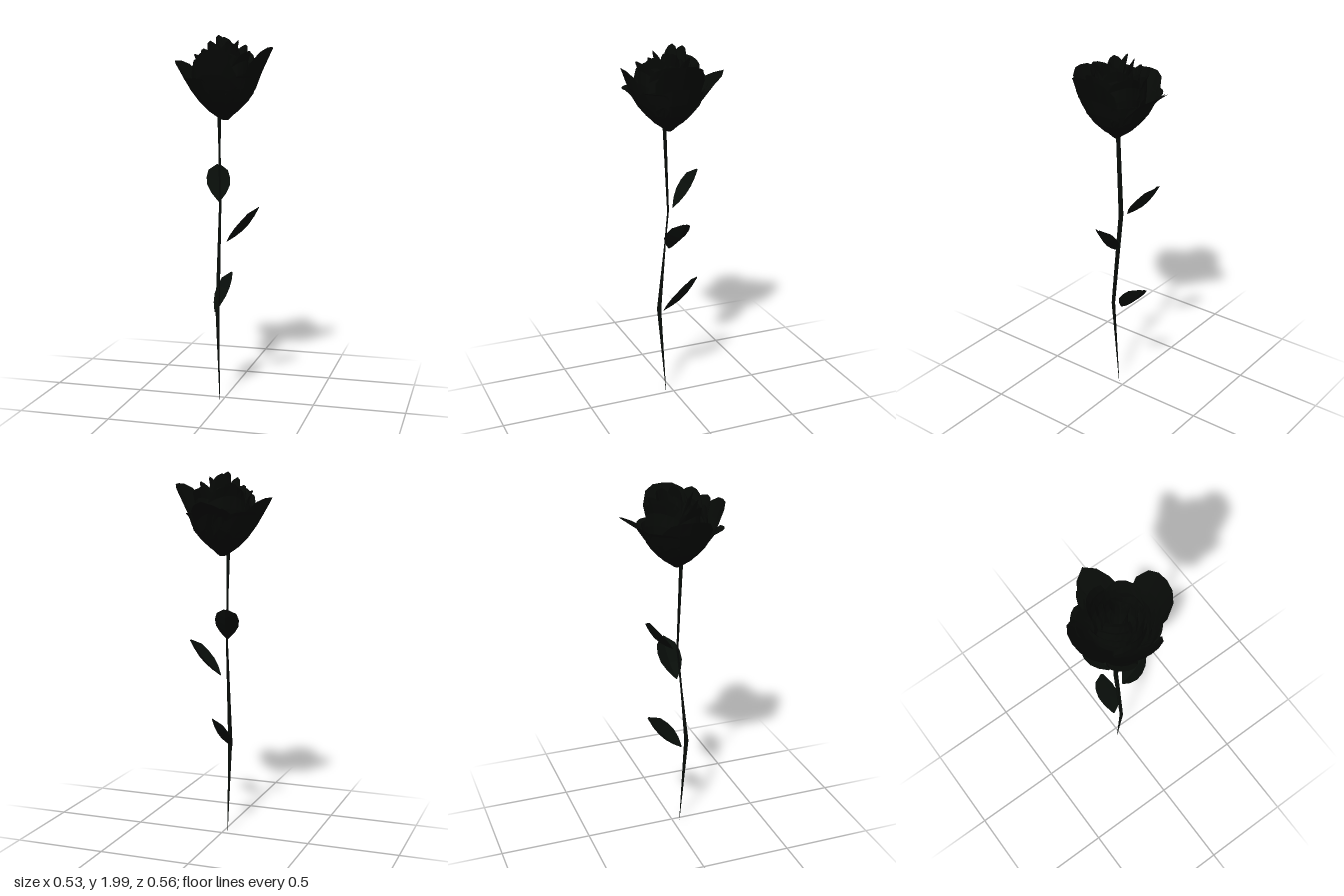
import * as THREE from 'three';

const petalMat = new THREE.MeshStandardMaterial({ color: 0x070a07, flatShading: true, side: THREE.DoubleSide });
const greenMat = new THREE.MeshStandardMaterial({ color: 0x080d09, flatShading: true, side: THREE.DoubleSide });

// Grid surface from a rule point(u, v), both 0..1
function sheet(nu, nv, point) {
  const pos = [], idx = [];
  for (let j = 0; j <= nv; j++)
    for (let i = 0; i <= nu; i++) pos.push(...point(i / nu, j / nv));
  for (let j = 0; j < nv; j++)
    for (let i = 0; i < nu; i++) {
      const a = j * (nu + 1) + i, b = a + 1, c = a + nu + 1, d = c + 1;
      idx.push(a, c, b, b, c, d);
    }
  const g = new THREE.BufferGeometry();
  g.setAttribute('position', new THREE.Float32BufferAttribute(pos, 3));
  g.setIndex(idx);
  g.computeVertexNormals();
  return g;
}

// Linear lookup along a list of equally spaced points
function along(list, t) {
  const f = Math.min(Math.max(t, 0), 1) * (list.length - 1);
  const i = Math.min(Math.floor(f), list.length - 2), k = f - i;
  return list[i].map((a, n) => a + (list[i + 1][n] - a) * k);
}

function add(group, name, geometry, material) {
  const m = new THREE.Mesh(geometry, material);
  m.name = name;
  group.add(m);
}

// Petal wrapped around the flower axis; profile rows are [radius, height],
// half is the angular half width, drop shortens the side edges,
// power shapes the end (1 pointed, 4 rounded), twist moves one edge inwards
function petal(angle, half, profile, drop, power, twist) {
  const wide = [[0.8], [0.95], [1], [1], [0.85]];
  return sheet(6, 5, (u, v) => {
    const s = u * 2 - 1;
    const [r, y] = along(profile, v * (1 - drop * Math.abs(s) ** power));
    const a = angle + s * half * along(wide, v)[0], q = r * (1 + twist * s);
    return [q * Math.cos(a), y, q * Math.sin(a)];
  });
}

// Leaf folded along its midrib, from base to tip, with a width direction
function leaf(base, tip, across, width) {
  const b = new THREE.Vector3(...base), d = new THREE.Vector3(...tip).sub(b);
  const w = new THREE.Vector3(...across).normalize();
  const n = new THREE.Vector3().crossVectors(w, d).normalize();
  const outline = [[0.06], [0.62], [0.95], [1], [0.82], [0.12]];
  return sheet(4, 5, (u, v) => {
    const s = u * 2 - 1, h = along(outline, v)[0];
    const lift = 0.038 * Math.abs(s) * h - 0.022 * Math.sin(v * Math.PI);
    return b.clone().addScaledVector(d, v).addScaledVector(w, s * h * width / 2).addScaledVector(n, lift).toArray();
  });
}

export function createModel() {
  const model = new THREE.Group();
  model.name = 'rose';

  // Stem: four-sided sections [y, z, half size on each diagonal]
  const sections = [
    [0, 0.04, 0.001, 0.001], [0.52, 0.08, 0.01, 0.013],
    [1.09, 0.025, 0.013, 0.0003], [1.58, 0.045, 0.011, 0.011],
  ];
  add(model, 'stem', sheet(4, 3, (u, v) => {
    const [y, z, p, q] = sections[Math.round(v * 3)];
    const a = u * Math.PI * 2, c = p * Math.cos(a) * Math.SQRT1_2, s = q * Math.sin(a) * Math.SQRT1_2;
    return [-0.02 + c + s, y, z + c - s];
  }), greenMat);

  // Leaves
  add(model, 'upperLeaf', leaf([-0.035, 1.1, -0.01], [-0.085, 1.285, -0.178], [1, 0, 0], 0.135), greenMat);
  add(model, 'middleLeaf', leaf([0.02, 0.89, 0.035], [0.193, 1.08, 0.015], [0, 0, 1], 0.13), greenMat);
  add(model, 'lowerLeaf', leaf([-0.045, 0.495, 0.04], [0.005, 0.685, -0.14], [1, 0.12, 0.9], 0.125), greenMat);

  // Flower head
  const flower = new THREE.Group();
  flower.name = 'flower';
  flower.position.set(0, 0, 0.03);
  model.add(flower);

  // Base of the flower
  const cup = new THREE.CylinderGeometry(0.07, 0.015, 0.05, 8);
  cup.translate(0.01, 1.572, 0);
  add(flower, 'flowerBase', cup, petalMat);

  // Broad outer petals, flaring outwards:
  // angle, half width, tip radius, tip height, shoulder radius, drop, power
  const outer = [
    [0.05, 0.74, 0.264, 1.93, 0.19, 0.14, 3], [1.6, 0.7, 0.25, 1.89, 0.205, 0.2, 3],
    [3.2, 0.74, 0.262, 1.86, 0.21, 0.18, 3], [4.74, 0.72, 0.312, 1.845, 0.2, 0.28, 1.3],
    [2.15, 0.4, 0.245, 1.77, 0.21, 0.15, 3], [3.85, 0.45, 0.235, 1.79, 0.205, 0.15, 3],
    [4.4, 0.32, 0.255, 1.81, 0.2, 0.25, 1.2], [5.4, 0.45, 0.215, 1.78, 0.185, 0.15, 3],
    [0.8, 0.45, 0.205, 1.78, 0.19, 0.15, 3],
  ];
  outer.forEach(([a, half, r, y, mid, drop, power], i) => add(flower, `outerPetal${i + 1}`,
    petal(a, half, [[0.015, 1.55], [0.095, 1.605], [0.16, 1.68], [mid, mid > 0.195 ? 1.765 : 1.77], [r, y]], drop, power, 0), petalMat));

  // Inner rings: count, angle offset, angular half width, drop, profile
  const rings = [
    [5, 0.3, 0.78, 0.15, [[0.02, 1.57], [0.12, 1.65], [0.146, 1.77], [0.138, 1.86], [0.16, 1.925]]],
    [4, 0.9, 0.85, 0.2, [[0.02, 1.58], [0.095, 1.68], [0.122, 1.79], [0.105, 1.88], [0.122, 1.95]]],
    [3, 0.2, 1.05, 0.22, [[0.02, 1.6], [0.07, 1.7], [0.088, 1.8], [0.072, 1.9], [0.088, 1.985]]],
    [2, 0.7, 1.45, 0.24, [[0.01, 1.62], [0.035, 1.72], [0.045, 1.82], [0.035, 1.92], [0.05, 1.995]]],
  ];
  rings.forEach(([count, offset, half, drop, profile], k) => {
    for (let i = 0; i < count; i++) {
      // Small regular variation so that neighbours overlap unevenly
      const vary = Math.sin(i * 2.4 + k * 1.7);
      const rows = profile.map(([r, y], n) => [r * (1 + 0.05 * vary), y - (n / 4) * 0.03 * (1 - vary) / 2]);
      add(flower, `ring${k + 1}Petal${i + 1}`,
        petal(offset + i * Math.PI * 2 / count + 0.08 * vary, half, rows, drop, 1.6, 0.12), petalMat);
    }
  });
  return model;
}
